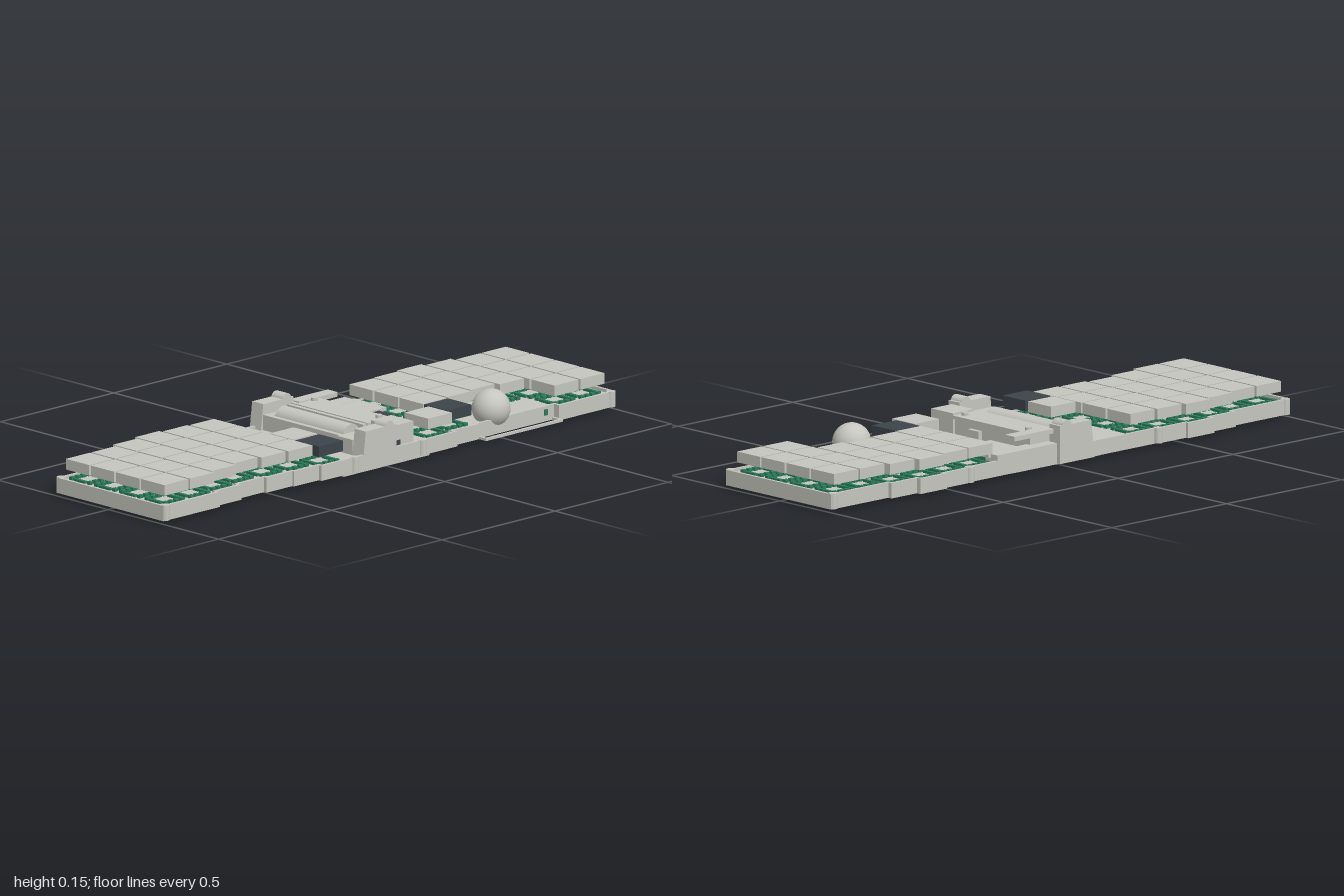
import * as THREE from 'three';
import { mergeGeometries } from 'three/addons/utils/BufferGeometryUtils.js';

const mat = (name, color) => Object.assign(new THREE.MeshStandardMaterial({ color }), { name });

export function createModel() {
  const model = new THREE.Group();
  model.name = 'splitKeyboard';
  const grey = mat('warmGrey', 0xc6c6bf);
  const dark = mat('darkSlate', 0x3c444b);
  const green = mat('boardGreen', 0x2a7d5c);

  const add = (name, geo, material = grey) => {
    const mesh = new THREE.Mesh(geo, material);
    mesh.name = name;
    model.add(mesh);
    return mesh;
  };
  // box from its minimum and maximum corners
  const block = (x0, x1, y0, y1, z0, z1) =>
    new THREE.BoxGeometry(x1 - x0, y1 - y0, z1 - z0)
      .translate((x0 + x1) / 2, (y0 + y1) / 2, (z0 + z1) / 2);
  const rod = (r, len, x, y, z, axis = 'y', sides = 20) => {
    const g = new THREE.CylinderGeometry(r, r, len, sides);
    if (axis === 'z') g.rotateX(Math.PI / 2);
    if (axis === 'x') g.rotateZ(Math.PI / 2);
    return g.translate(x, y, z);
  };
  // shape drawn in x,z and raised from y0 to y1
  const slab = (shape, y0, y1) =>
    new THREE.ExtrudeGeometry(shape, { depth: y1 - y0, bevelEnabled: false })
      .rotateX(Math.PI / 2).translate(0, y1, 0);

  // ---- case: stepped outline following the staggered key columns
  const back = [[-1, -0.75, -0.235], [-0.75, -0.64, -0.25], [-0.64, -0.525, -0.267], [-0.525, -0.41, -0.257],
    [-0.41, 0.41, -0.25], [0.41, 0.525, -0.257], [0.525, 0.64, -0.267], [0.64, 0.75, -0.25], [0.75, 1, -0.235]];
  const front = [[-1, -0.75, 0.25], [-0.75, -0.64, 0.235], [-0.64, -0.525, 0.22], [-0.525, -0.41, 0.23],
    [-0.41, -0.3, 0.237], [-0.3, 0.3, 0.25], [0.3, 0.41, 0.235], [0.41, 0.75, 0.228], [0.75, 1, 0.25]];
  const edge = (steps, side, d) => {
    const pts = [];
    steps.forEach(([x0, x1, z], i) => {
      const shift = (j) => (!steps[j] ? 0 : Math.sign((steps[j][2] - z) * side) * d);
      const a = i === 0 ? x0 + d : x0 - shift(i - 1);
      const b = i === steps.length - 1 ? x1 - d : x1 + shift(i + 1);
      pts.push(new THREE.Vector2(a, z - side * d), new THREE.Vector2(b, z - side * d));
    });
    return pts;
  };
  const outline = (d) => [...edge(back, -1, d), ...edge(front, 1, d).reverse()];
  add('caseFloor', slab(new THREE.Shape(outline(0)), 0.01, 0.05));
  const rim = new THREE.Shape(outline(0));
  rim.holes.push(new THREE.Path(outline(0.01)));
  add('caseRim', slab(rim, 0.05, 0.06));
  add('centreBasePlate', block(-0.19, 0.19, 0, 0.01, -0.22, 0.237));
  const pegs = [];
  for (const s of [-1, 1]) {
    for (const [x, z] of [[0.985, -0.228], [0.985, 0.243], [0.41, -0.25], [0.15, 0.245]]) {
      pegs.push(rod(0.015, 0.05, s * x, 0.036, z));
    }
  }
  add('cornerPegs', mergeGeometries(pegs));

  // ---- key columns: outer x edge, back z edge, rows on left and right halves
  const pitch = 0.1135, cap = 0.106, caps = [], darkCaps = [], contacts = [];
  const socket = (x, z) => {
    for (const s of [-1, 1]) {
      for (let i = 0; i < 4; i++) {
        const cx = x - 0.036 + i * 0.024;
        contacts.push(block(cx - 0.008, cx + 0.008, 0.05, 0.06, z + s * 0.04 - 0.007, z + s * 0.04 + 0.007));
      }
      contacts.push(block(x + s * 0.04 - 0.006, x + s * 0.04 + 0.006, 0.05, 0.058, z - 0.025, z + 0.025));
    }
  };
  const key = (x, z, list = caps) => {
    list.push(block(x - cap / 2, x + cap / 2, 0.084, 0.119, z - cap / 2, z + cap / 2));
    socket(x, z);
  };
  const columnBack = [-0.22, -0.22, -0.238, -0.255, -0.244, -0.239];
  for (const s of [-1, 1]) {
    columnBack.forEach((z, c) => {
      const rows = s > 0 && c > 1 ? 3 : 4;
      for (let r = 0; r < rows; r++) key(s * (0.92 - c * pitch), z + cap / 2 + r * pitch);
    });
  }
  key(-0.243, 0.063);
  key(-0.243, 0.18, darkCaps);
  key(0.24, 0.18);
  key(0.352, 0.153, darkCaps);
  add('keycaps', mergeGeometries(caps));
  add('darkKeycaps', mergeGeometries(darkCaps), dark);
  add('switchContacts', mergeGeometries(contacts), green);

  // ---- bare switches without caps
  for (const [x, z] of [[-0.226, -0.063], [0.227, -0.02]]) {
    add('bareSwitchBoard', block(x - 0.024, x + 0.024, 0.05, 0.06, z - 0.043, z + 0.043), green);
    add('bareSwitch', block(x - 0.016, x + 0.016, 0.06, 0.081, z - 0.026, z + 0.026), dark);
  }

  // ---- trackball and the loop in front of it
  add('trackball', new THREE.SphereGeometry(0.062, 40, 24).translate(0.51, 0.085, 0.188));
  const loop = mergeGeometries([
    block(0.41, 0.75, 0.01, 0.018, 0.258, 0.268),
    block(0.41, 0.42, 0.01, 0.018, 0.22, 0.26),
    block(0.74, 0.75, 0.01, 0.018, 0.22, 0.26),
  ]);
  add('frontLoop', loop);
  add('sidePort', block(0.705, 0.72, 0.03, 0.05, 0.226, 0.231), green);

  // ---- centre: sloped end towers with hinge barrels
  const tower = new THREE.Shape([[-0.12, 0.012], [0.03, 0.012], [0.03, 0.135], [-0.105, 0.135]]
    .map(([x, y]) => new THREE.Vector2(x, y)));
  for (const [z0, z1] of [[0.2, 0.25], [-0.265, -0.215]]) {
    add('endTower', new THREE.ExtrudeGeometry(tower, { depth: z1 - z0, bevelEnabled: false }).translate(0, 0, z0));
    add('hingeBarrel', rod(0.02, z1 - z0, 0, 0.131, (z0 + z1) / 2, 'z'));
  }
  add('frontBlock', block(0.03, 0.12, 0.03, 0.125, 0.135, 0.235));
  add('frontShelf', block(-0.115, 0.03, 0.05, 0.1, 0.13, 0.2));
  add('frontSocket', block(0.03, 0.06, 0.055, 0.075, 0.23, 0.238), dark);

  // ---- battery in its tray
  add('batteryTray', mergeGeometries([
    block(-0.105, 0.015, 0.05, 0.07, -0.215, 0.13),
    block(-0.105, -0.088, 0.07, 0.1, -0.215, 0.13),
    block(0.0, 0.015, 0.07, 0.115, -0.215, 0.13),
    block(-0.088, 0.0, 0.07, 0.1, -0.215, -0.19),
  ]));
  add('battery', rod(0.036, 0.31, -0.044, 0.088, -0.033, 'z', 28));

  // ---- cover panel with screws, back arm and side plate
  add('coverPanel', mergeGeometries([
    block(0.015, 0.12, 0.107, 0.118, -0.22, 0.135),
    block(0.015, 0.11, 0.05, 0.107, -0.21, 0.135),
    block(0.12, 0.135, 0.05, 0.09, 0.0, 0.05),
  ]));
  for (const z of [0.112, -0.18]) add('coverScrew', rod(0.011, 0.012, 0.088, 0.122, z));
  add('backArm', block(0.03, 0.2, 0.107, 0.122, -0.235, -0.19));
  add('backBlock', block(0.03, 0.29, 0.05, 0.078, -0.25, -0.195));
  add('sidePlate', block(0.15, 0.3, 0.066, 0.077, -0.22, -0.07));
  add('sidePlateBoard', block(0.16, 0.29, 0.05, 0.066, -0.21, -0.08), green);
  add('leftTab', block(-0.13, -0.105, 0.05, 0.07, -0.05, 0.03));

  return model;
}
